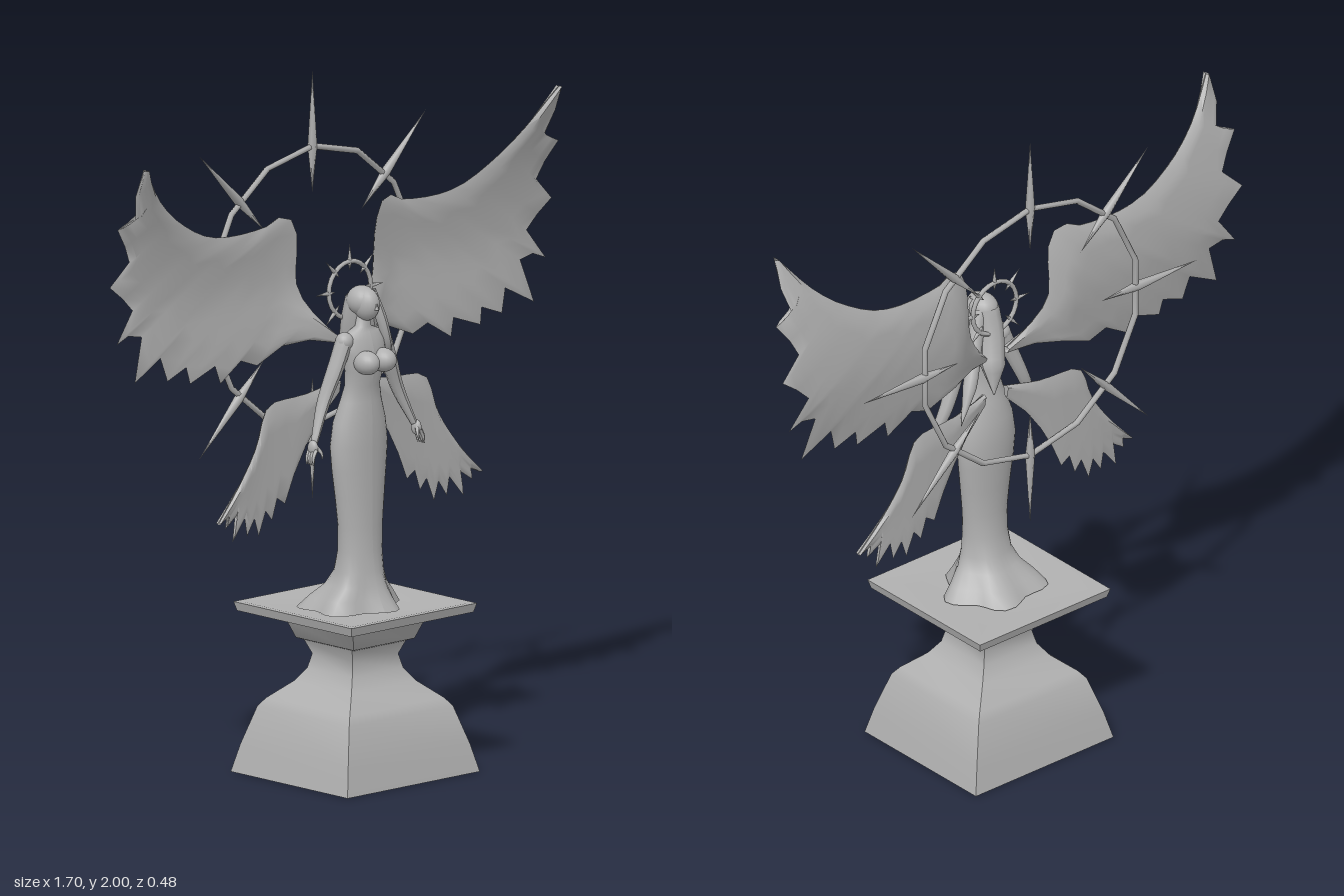
import * as THREE from 'three';
import { toCreasedNormals } from 'three/addons/utils/BufferGeometryUtils.js';

const stone = new THREE.MeshStandardMaterial({ color: 0xb0b0b0, side: THREE.DoubleSide });
stone.name = 'grey stone';

const CX = -0.013; // middle of the figure
const V = (p) => new THREE.Vector3(p[0], p[1], p[2] || 0);

function add(parent, name, geometry, pos = [0, 0, 0], scale = [1, 1, 1]) {
  const mesh = new THREE.Mesh(geometry, stone);
  mesh.name = name;
  mesh.position.set(...pos);
  mesh.scale.set(...scale);
  parent.add(mesh);
  return mesh;
}

// Grid surface: fn(i, j) gives a point, faces look along di x dj
function grid(nu, nv, fn, flip = false) {
  const pos = [], idx = [];
  for (let j = 0; j <= nv; j++) for (let i = 0; i <= nu; i++) pos.push(...fn(i, j));
  for (let j = 0; j < nv; j++) for (let i = 0; i < nu; i++) {
    const a = j * (nu + 1) + i, b = a + 1, c = b + nu + 1, d = a + nu + 1;
    if (flip) idx.push(a, d, b, b, d, c);
    else idx.push(a, b, d, b, c, d);
  }
  const g = new THREE.BufferGeometry();
  g.setAttribute('position', new THREE.Float32BufferAttribute(pos, 3));
  g.setIndex(idx);
  g.computeVertexNormals();
  return g;
}

// Tube along a path whose radius follows a list
function taper(points, radii, seg = 12, sides = 8) {
  const curve = new THREE.CatmullRomCurve3(points.map(V));
  const g = new THREE.TubeGeometry(curve, seg, 1, sides);
  const P = g.attributes.position, N = g.attributes.normal;
  for (let k = 0; k < P.count; k++) {
    const t = Math.floor(k / (sides + 1)) / seg;
    const f = t * (radii.length - 1), i = Math.min(Math.floor(f), radii.length - 2);
    const r = THREE.MathUtils.lerp(radii[i], radii[i + 1], f - i);
    const c = curve.getPointAt(t);
    P.setXYZ(k, c.x + N.getX(k) * r, c.y + N.getY(k) * r, c.z + N.getZ(k) * r);
  }
  g.computeVertexNormals();
  return g;
}

// Square moulding from a half-width profile
function squareLathe(profile) {
  const pts = profile.map(([r, y]) => new THREE.Vector2(r * Math.SQRT2, y));
  return toCreasedNormals(new THREE.LatheGeometry(pts, 4, Math.PI / 4), 0.9);
}

// Wing skin lofted from the leading edge to the feathered edge and back
function wing(lead, feathers, depth, thick, side) {
  const curve = new THREE.CatmullRomCurve3(lead.map(V), false, 'centripetal');
  const n = feathers.length - 1, M = 8;
  const edge = curve.getSpacedPoints(n);
  const g = grid(n, 2 * M, (i, j) => {
    const s = j <= M ? j / M : 2 - j / M;
    const x = THREE.MathUtils.lerp(edge[i].x, feathers[i][0], s);
    const y = THREE.MathUtils.lerp(edge[i].y, feathers[i][1], s);
    const h = s === 0 || s === 1 ? 0.001 : thick * (1 - 0.7 * s);
    return [side * x, y, depth(x, y) + (j <= M ? -h : h)];
  }, side < 0);
  return toCreasedNormals(g, 0.9);
}

// Ring with eight pointed rays
function halo(name, y, z, radius, tube, segments, inner, outer, width) {
  const g = new THREE.Group();
  g.name = name;
  g.position.set(-0.01, y, z);
  add(g, 'ring', new THREE.TorusGeometry(radius, tube, 6, segments)).rotation.z = Math.PI / 2;
  const profile = [[0, inner], [width, radius], [0, outer]].map((p) => new THREE.Vector2(...p));
  for (let k = 0; k < 8; k++) {
    add(g, 'ray', new THREE.LatheGeometry(profile, 6)).rotation.z = (k * Math.PI) / 4;
  }
  return g;
}

export function createModel() {
  const model = new THREE.Group();
  model.name = 'winged statue';

  // Pedestal
  add(model, 'pedestal', squareLathe([[0, 0], [0.255, 0], [0.235, 0.08], [0.2, 0.19], [0.182, 0.213],
    [0.125, 0.262], [0.098, 0.3], [0.088, 0.34], [0.105, 0.38]]), [0, 0, 0], [1, 1, 0.94]);
  add(model, 'capital', squareLathe([[0.1, 0.378], [0.118, 0.385], [0.135, 0.43], [0.165, 0.455],
    [0.235, 0.461], [0.242, 0.487], [0.225, 0.487], [0.15, 0.475], [0, 0.475]]));

  // Gown and torso: [y, centre z, half width, half depth, fold]
  const rings = [
    [0.48, 0.0, 0.145, 0.13, 0.13], [0.515, 0.008, 0.122, 0.105, 0.1], [0.55, 0.022, 0.092, 0.08, 0.06],
    [0.59, 0.03, 0.076, 0.064, 0.02], [0.65, 0.033, 0.07, 0.054, 0], [0.72, 0.034, 0.073, 0.05, 0],
    [0.8, 0.032, 0.082, 0.052, 0], [0.88, 0.029, 0.092, 0.055, 0], [0.95, 0.028, 0.098, 0.057, 0],
    [1.02, 0.03, 0.088, 0.055, 0], [1.08, 0.036, 0.068, 0.045, 0], [1.125, 0.042, 0.058, 0.038, 0],
    [1.17, 0.05, 0.064, 0.042, 0], [1.22, 0.052, 0.07, 0.042, 0], [1.26, 0.048, 0.074, 0.034, 0],
    [1.28, 0.046, 0.055, 0.028, 0], [1.293, 0.046, 0.024, 0.021, 0], [1.34, 0.05, 0.018, 0.018, 0]];
  const S = 30;
  add(model, 'gownAndTorso', grid(S, rings.length - 1, (i, j) => {
    const a = (i / S) * Math.PI * 2, [y, z, rx, rz, f] = rings[j];
    const k = 1 + f * Math.cos(5 * a - 1.2);
    return [CX + rx * k * Math.sin(a), y, z + rz * k * Math.cos(a)];
  }));
  const ball = new THREE.SphereGeometry(1, 20, 14);

  // Head and hair
  add(model, 'head', ball, [CX, 1.357, 0.06], [0.034, 0.047, 0.042]);
  add(model, 'nose', new THREE.ConeGeometry(0.007, 0.022, 6), [CX, 1.357, 0.102]);
  add(model, 'hairCap', ball, [CX, 1.365, 0.042], [0.042, 0.043, 0.048]);
  add(model, 'backHair', taper([[CX, 1.37, 0.025], [CX, 1.3, 0.005], [0.0, 1.22, -0.015], [0.02, 1.13, -0.045]],
    [0.036, 0.035, 0.036, 0.002]));
  add(model, 'sweptLock', taper([[0.01, 1.37, 0.03], [0.045, 1.28, 0.01], [0.09, 1.19, -0.025], [0.155, 1.085, -0.06]],
    [0.022, 0.022, 0.02, 0.001]));
  add(model, 'frontLock', taper([[0.01, 1.395, 0.06], [0.028, 1.34, 0.065], [0.055, 1.25, 0.07], [0.095, 1.16, 0.04]],
    [0.01, 0.016, 0.014, 0.001]));

  // Edges of the upper and lower wings, for the left side
  const upperLead = [[0.04, 1.255], [0.1, 1.32], [0.145, 1.4], [0.15, 1.52], [0.163, 1.585], [0.2, 1.62],
    [0.245, 1.597], [0.46, 1.592], [0.6, 1.655], [0.7, 1.735], [0.795, 1.85]];
  const upperFeathers = [[0.04, 1.235], [0.12, 1.25], [0.2, 1.24], [0.3, 1.2], [0.36, 1.222], [0.445, 1.17],
    [0.46, 1.222], [0.56, 1.187], [0.57, 1.235], [0.645, 1.207], [0.665, 1.275], [0.77, 1.22], [0.73, 1.345],
    [0.78, 1.355], [0.827, 1.337], [0.76, 1.425], [0.8, 1.465], [0.852, 1.505], [0.785, 1.57], [0.81, 1.62],
    [0.85, 1.675], [0.785, 1.69], [0.808, 1.77], [0.803, 1.848]];
  const upperDepth = (x, y) => -0.105 + 0.095 * Math.max(0, (y - 1.4) / 0.45) ** 2
    + 0.075 * Math.max(0, 1 - x / 0.2) + 0.025 * Math.max(0, (1.4 - y) / 0.22);
  const lowerLead = [[0.04, 1.13], [0.16, 1.105], [0.29, 1.095], [0.315, 1.075], [0.35, 0.98], [0.42, 0.88], [0.505, 0.787]];
  const lowerFeathers = [[0.04, 1.09], [0.11, 1.02], [0.16, 0.95], [0.2, 0.88], [0.235, 0.8], [0.265, 0.82],
    [0.285, 0.76], [0.31, 0.79], [0.338, 0.722], [0.355, 0.775], [0.385, 0.73], [0.395, 0.782],
    [0.445, 0.722], [0.43, 0.795], [0.475, 0.765], [0.46, 0.8], [0.503, 0.782]];
  const lowerDepth = (x) => -0.022 - 0.015 * Math.sin(x * 6);

  for (const side of [1, -1]) {
    const word = side > 0 ? 'left' : 'right';
    const at = (x, y, z) => [CX + side * x, y, z];
    add(model, word + 'Bust', ball, at(0.032, 1.198, 0.095), [0.034, 0.034, 0.042]);

    // Arm, palm and fingers
    add(model, word + 'Shoulder', ball, at(0.072, 1.258, 0.046), [0.026, 0.026, 0.026]);
    add(model, word + 'Arm', taper([at(0.072, 1.262, 0.046), at(0.1, 1.19, 0.042), at(0.143, 1.09, 0.035), at(0.192, 0.985, 0.05)],
      [0.025, 0.023, 0.018, 0.01]));
    add(model, word + 'Palm', ball, at(0.199, 0.972, 0.052), [0.012, 0.022, 0.018]);
    for (let k = 0; k < 4; k++) {
      const z = 0.04 + k * 0.009;
      add(model, word + 'Finger', taper([at(0.2, 0.968, z), at(0.211, 0.948, z + 0.001), at(0.214, 0.926, z + 0.003)],
        [0.006, 0.005, 0.002], 5, 6));
    }
    add(model, word + 'Thumb', taper([at(0.195, 0.975, 0.06), at(0.185, 0.957, 0.073), at(0.186, 0.943, 0.077)],
      [0.007, 0.005, 0.002], 5, 6));

    // Wings
    add(model, word + 'UpperWing', wing(upperLead, upperFeathers, upperDepth, 0.014, side));
    add(model, word + 'LowerWing', wing(lowerLead, lowerFeathers, lowerDepth, 0.011, side));
  }

  // Halos behind the head and the whole figure
  model.add(halo('headHalo', 1.387, -0.012, 0.081, 0.007, 24, 0.055, 0.132, 0.007));
  model.add(halo('greatHalo', 1.375, -0.165, 0.4, 0.009, 14, 0.265, 0.62, 0.014));
  return model;
}
